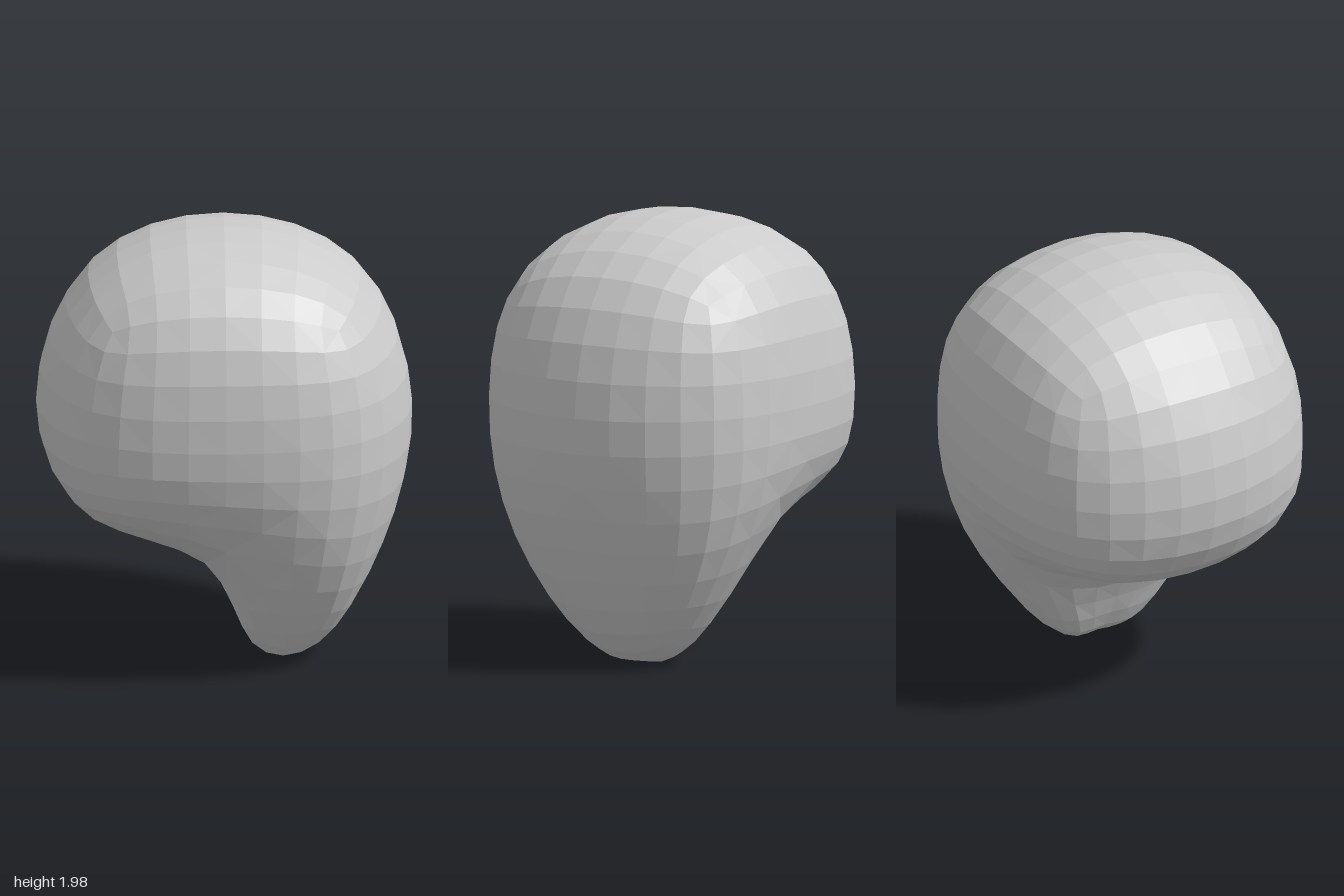
import * as THREE from 'three';

// Surface points by column (right, centre, left) and level (tip, belly, middle, crown).
// rim = [x, y, z], mirrored in z; mid = [x, y] on the z = 0 plane.
const POINTS = [
  [null,
    { rim: [-0.51, 0.80, 0.49], mid: [-0.60, 0.71] },
    { rim: [-0.60, 1.19, 0.58], mid: [-0.83, 1.19] },
    { rim: [-0.50, 1.68, 0.49], mid: [-0.60, 1.78] }],
  [{ rim: [0.15, 0.145, 0.24], mid: [0.125, 0.10] },
    { rim: [0.00, 0.67, 0.56], mid: [-0.10, 0.475] },
    { rim: [0.00, 1.19, 0.73], mid: [0, 1.19] },
    { rim: [0.00, 1.78, 0.58], mid: [0, 2.00] }],
  [{ rim: [0.39, 0.145, 0.24], mid: [0.42, 0.08] },
    { rim: [0.53, 0.58, 0.49], mid: [0.71, 0.57] },
    { rim: [0.60, 1.19, 0.58], mid: [0.83, 1.18] },
    { rim: [0.50, 1.68, 0.49], mid: [0.60, 1.78] }],
];

function surfacePoint([i, j, k]) {
  const { rim, mid } = POINTS[i][j];
  return k === 1
    ? new THREE.Vector3(mid[0], mid[1], 0)
    : new THREE.Vector3(rim[0], rim[1], rim[2] * (k - 1));
}

// Cage: outer faces of a 2 x 2 x 2 block of cells with the tip hanging under its left half
function buildCage() {
  const filled = ([i, j, k]) =>
    i >= 0 && i < 2 && k >= 0 && k < 2 && j < 3 && (j >= 1 || (j === 0 && i === 1));
  const ids = new Map(), points = [], faces = [];
  const vertex = (c) => {
    const key = c.join();
    if (!ids.has(key)) {
      ids.set(key, points.length);
      points.push(surfacePoint(c));
    }
    return ids.get(key);
  };
  for (let i = 0; i < 2; i++) for (let j = 0; j < 3; j++) for (let k = 0; k < 2; k++) {
    const cell = [i, j, k];
    if (!filled(cell)) continue;
    for (let d = 0; d < 3; d++) for (const side of [0, 1]) {
      const next = [...cell];
      next[d] += side ? 1 : -1;
      if (filled(next)) continue;
      const face = [[0, 0], [1, 0], [1, 1], [0, 1]].map(([u, v]) => {
        const c = [...cell];
        c[d] += side;
        c[(d + 1) % 3] += u;
        c[(d + 2) % 3] += v;
        return vertex(c);
      });
      faces.push(side ? face : face.reverse());
    }
  }
  return { points, faces };
}

const average = (list) =>
  list.reduce((sum, p) => sum.add(p), new THREE.Vector3()).divideScalar(list.length);

// One round of quad smoothing; the first points keep their order
function subdivide({ points, faces }) {
  const n = points.length;
  const centres = faces.map((f) => average(f.map((v) => points[v])));
  const edges = new Map();
  const around = points.map(() => ({ centres: [], mids: [] }));
  const edgeKey = (a, b) => (a < b ? `${a},${b}` : `${b},${a}`);
  faces.forEach((f, fi) => f.forEach((a, s) => {
    const b = f[(s + 1) % 4], key = edgeKey(a, b);
    around[a].centres.push(centres[fi]);
    if (!edges.has(key)) {
      const mid = average([points[a], points[b]]);
      edges.set(key, { parts: [points[a], points[b]], id: n + faces.length + edges.size });
      around[a].mids.push(mid);
      around[b].mids.push(mid);
    }
    edges.get(key).parts.push(centres[fi]);
  }));
  const moved = points.map((p, i) => {
    const { centres: c, mids } = around[i], valence = c.length;
    return average(c).addScaledVector(average(mids), 2)
      .addScaledVector(p, valence - 3).divideScalar(valence);
  });
  const edgePoints = [...edges.values()].map((e) => average(e.parts));
  const quads = faces.flatMap((f, fi) => f.map((a, s) => [
    a, edges.get(edgeKey(a, f[(s + 1) % 4])).id,
    n + fi, edges.get(edgeKey(f[(s + 3) % 4], a)).id,
  ]));
  return { points: [...moved, ...centres, ...edgePoints], faces: quads };
}

const smooth = (cage) => subdivide(subdivide(cage));

export function createModel() {
  const group = new THREE.Group();
  group.name = 'roundedHead';

  // Push the cage outward until the smoothed skin passes through the surface points
  const cage = buildCage();
  const targets = cage.points.map((p) => p.clone());
  for (let step = 0; step < 40; step++) {
    const skin = smooth(cage);
    cage.points.forEach((p, i) => p.add(targets[i]).sub(skin.points[i]));
  }
  const { points, faces } = smooth(cage);

  const geometry = new THREE.BufferGeometry().setFromPoints(points);
  geometry.setIndex(faces.flatMap(([a, b, c, d]) => [a, b, c, a, c, d]));
  geometry.computeVertexNormals();

  const head = new THREE.Mesh(geometry,
    new THREE.MeshStandardMaterial({ color: 0xcccccc, flatShading: true }));
  head.name = 'headWithJaw';
  group.add(head);
  return group;
}
